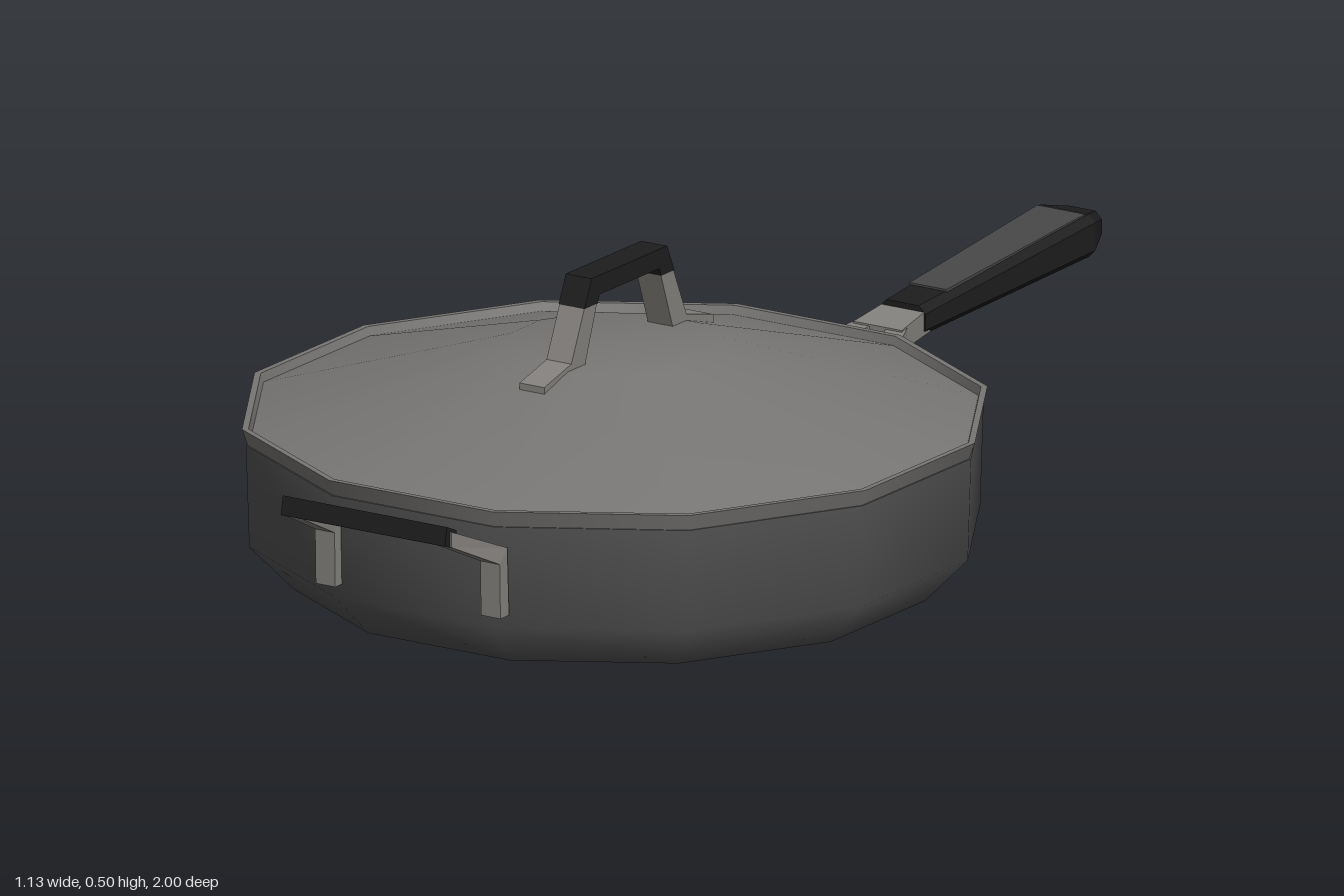
import * as THREE from 'three';

const material = (name, color) => {
  const m = new THREE.MeshStandardMaterial({ color });
  m.name = name;
  return m;
};

// Solid bar through sections [x, yA, zA, yB, zB, halfWidth]; the width runs along x,
// A and B are the two edges of the section. A chamfer cuts the section's corners.
function bar(sections, chamfer = 0) {
  const rings = sections.map(([x, yA, zA, yB, zB, w]) => {
    const at = (dx, t) => [x + dx, yA + (yB - yA) * t, zA + (zB - zA) * t];
    if (!chamfer) return [at(-w, 0), at(w, 0), at(w, 1), at(-w, 1)];
    const t = chamfer / Math.hypot(yB - yA, zB - zA), i = w - chamfer;
    return [at(-i, 0), at(i, 0), at(w, t), at(w, 1 - t), at(i, 1), at(-i, 1), at(-w, 1 - t), at(-w, t)];
  });
  const pos = [];
  const tri = (a, b, c) => pos.push(...a, ...b, ...c);
  const n = rings[0].length, last = rings[rings.length - 1];
  for (let r = 0; r < rings.length - 1; r++) {
    const a = rings[r], b = rings[r + 1];
    for (let i = 0; i < n; i++) {
      const j = (i + 1) % n;
      tri(a[i], b[i], b[j]);
      tri(a[i], b[j], a[j]);
    }
  }
  for (let i = 1; i < n - 1; i++) {
    tri(rings[0][0], rings[0][i], rings[0][i + 1]);
    tri(last[0], last[i + 1], last[i]);
  }
  const g = new THREE.BufferGeometry();
  g.setAttribute('position', new THREE.Float32BufferAttribute(pos, 3));
  g.computeVertexNormals();
  return g;
}

// Twelve-sided turned form; radii are measured to the flats.
function turned(profile) {
  const k = 1 / Math.cos(Math.PI / 12);
  const g = new THREE.LatheGeometry(profile.map(([r, y]) => new THREE.Vector2(r * k, y)), 12, Math.PI / 12);
  g.normalizeNormals();
  return g;
}

export function createModel() {
  const model = new THREE.Group();
  model.name = 'coveredPan';
  const panGrey = material('panGrey', 0x525252);
  const lidGrey = material('lidGrey', 0x787674);
  const steel = material('steel', 0x84817d);
  const black = material('gripBlack', 0x1d1d1d);
  const panelGrey = material('gripPanelGrey', 0x484848);

  const add = (name, geometry, mat, z = 0) => {
    const mesh = new THREE.Mesh(geometry, mat);
    mesh.name = name;
    mesh.position.z = z;
    model.add(mesh);
  };

  // Pan and lid
  const centre = 0.3;
  add('panBody', turned([[0, 0], [0.488, 0], [0.555, 0.072], [0.56, 0.236], [0.56, 0.236], [0.5, 0.236]]), panGrey, centre);
  add('lid', turned([
    [0.53, 0.231], [0.556, 0.231], [0.556, 0.231], [0.566, 0.262], [0.566, 0.262], [0.556, 0.262],
    [0.556, 0.262], [0.552, 0.248], [0.552, 0.248], [0.165, 0.365], [0, 0.365],
  ]), lidGrey, centre);

  // Lid handle: two steel legs with feet and a black grip
  const leg = [
    [0, 0.338, 0.53, 0.356, 0.53, 0.023],
    [0, 0.355, 0.42, 0.375, 0.455, 0.023],
    [0, 0.455, 0.384, 0.455, 0.419, 0.023],
  ];
  const gripHalf = [
    [0, 0.455, 0.383, 0.455, 0.42, 0.024],
    [0, 0.468, 0.378, 0.499, 0.4, 0.024],
  ];
  const mirrored = (list) => list.map(([x, yA, zA, yB, zB, w]) => [x, yA, 0.59 - zA, yB, 0.59 - zB, w]).reverse();
  add('lidHandleFrontLeg', bar(leg), steel);
  add('lidHandleBackLeg', bar(mirrored(leg)), steel);
  add('lidHandleGrip', bar([...gripHalf, ...mirrored(gripHalf)]), black);

  for (const s of [-1, 1]) {
    const side = s > 0 ? 'left' : 'right';
    // Front helper handle arms
    add(side + 'HelperArm', bar([
      [s * 0.153, 0.095, 0.85, 0.095, 0.874, 0.018],
      [s * 0.153, 0.205, 0.855, 0.183, 0.876, 0.018],
      [s * 0.139, 0.26, 0.985, 0.235, 0.985, 0.015],
    ]), steel);
    // Long handle struts and their pads on the pan wall
    add(side + 'HandleStrut', bar([
      [s * 0.1, 0.13, -0.25, 0.172, -0.25, 0.018],
      [s * 0.027, 0.178, -0.445, 0.21, -0.445, 0.018],
    ]), steel);
    add(side + 'HandlePad', bar([
      [s * 0.112, 0.12, -0.245, 0.178, -0.245, 0.035],
      [s * 0.112, 0.12, -0.264, 0.178, -0.264, 0.035],
    ]), steel);
  }
  add('helperGrip', bar([
    [0, 0.258, 0.967, 0.23, 0.973, 0.152],
    [0, 0.27, 0.994, 0.24, 1.0, 0.152],
  ]), black);

  // Long handle neck, grip and inlaid top panel
  add('handleNeck', bar([
    [0, 0.176, -0.43, 0.21, -0.43, 0.045],
    [0, 0.185, -0.52, 0.224, -0.52, 0.038],
  ]), steel);
  add('handleGrip', bar([
    [0, 0.18, -0.5, 0.23, -0.5, 0.042],
    [0, 0.198, -0.95, 0.267, -0.95, 0.057],
    [0, 0.21, -1.0, 0.256, -1.0, 0.036],
  ], 0.012), black);
  add('handlePanel', bar([
    [0, 0.231, -0.57, 0.239, -0.57, 0.034],
    [0, 0.261, -0.94, 0.269, -0.94, 0.044],
  ]), panelGrey);
  return model;
}
